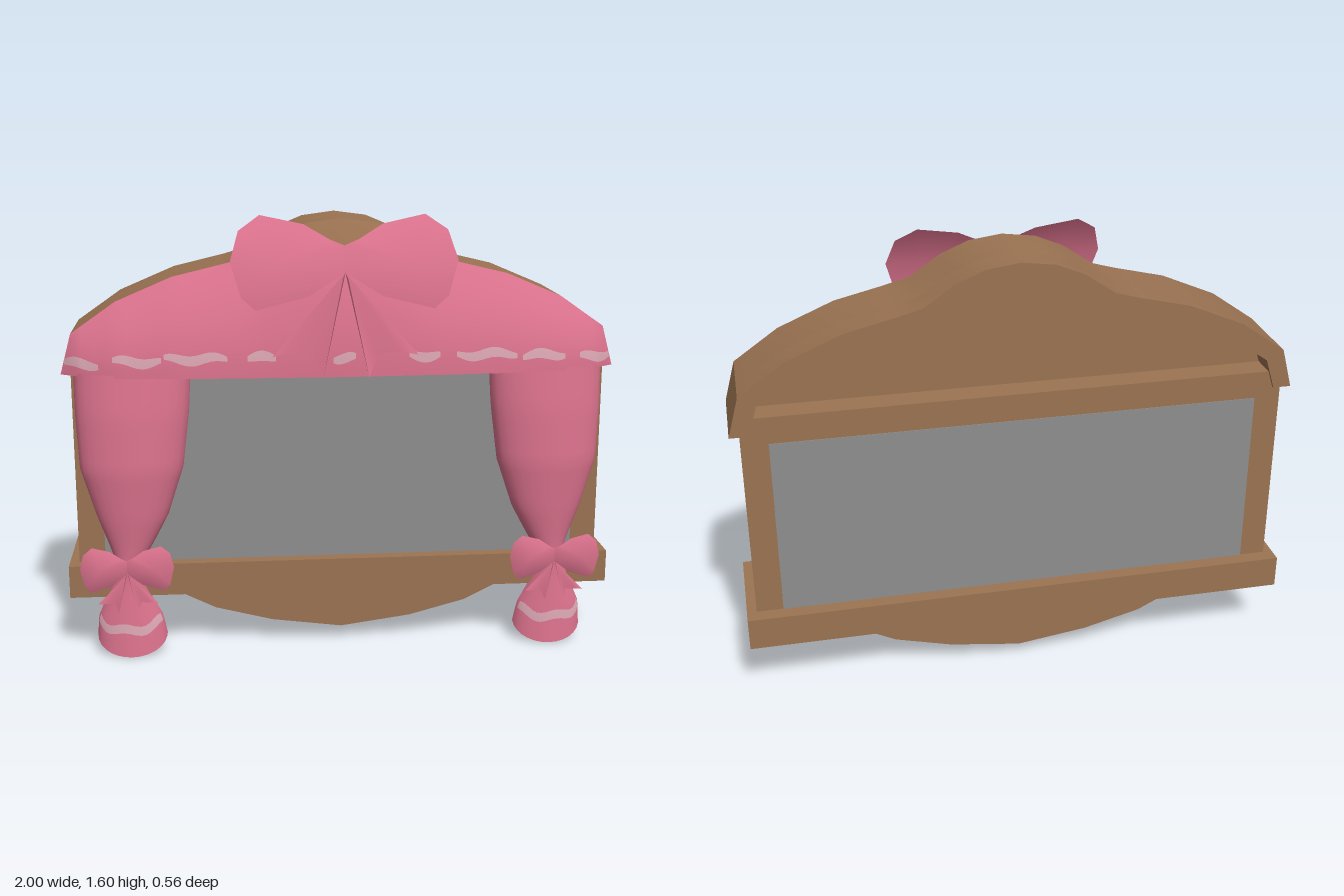
import * as THREE from 'three';
import { toCreasedNormals } from 'three/addons/utils/BufferGeometryUtils.js';
import { ParametricGeometry } from 'three/addons/geometries/ParametricGeometry.js';

const mat = (name, color, side = THREE.FrontSide) => {
  const m = new THREE.MeshStandardMaterial({ color, side });
  m.name = name;
  return m;
};

// piecewise linear lookup in rows sorted by their first number
function lookup(rows, x, col = 1) {
  let i = 0;
  while (i < rows.length - 2 && x > rows[i + 1][0]) i++;
  const [a, b] = [rows[i], rows[i + 1]];
  const t = THREE.MathUtils.clamp((x - a[0]) / (b[0] - a[0]), 0, 1);
  return a[col] + (b[col] - a[col]) * t;
}

// half outlines of the arched crown: |x|, y
const OUTER = [[0, 1.583], [0.12, 1.567], [0.22, 1.525], [0.33, 1.45], [0.42, 1.425], [0.6, 1.382], [0.8, 1.297], [0.96, 1.185], [1, 1.04]];
const INNER = [[0, 1.52], [0.11, 1.505], [0.2, 1.46], [0.3, 1.39], [0.4, 1.36], [0.58, 1.32], [0.77, 1.24], [0.9, 1.15], [0.935, 1.04]];
// depth of the valance hem: |x|, z
const HEM = [[0, 0.215], [0.4, 0.205], [0.6, 0.195], [0.8, 0.17], [0.93, 0.125], [1, 0.075]];
// curtain cross-sections: y, inner x, outer x, back z, front z
const CURTAIN = [
  [0, 0.65, 0.905, 0.115, 0.19], [0.1, 0.665, 0.9, 0.115, 0.182], [0.27, 0.73, 0.845, 0.12, 0.165],
  [0.33, 0.745, 0.825, 0.12, 0.165], [0.4, 0.7, 0.845, 0.115, 0.17], [0.52, 0.635, 0.89, 0.112, 0.185],
  [0.7, 0.575, 0.945, 0.1, 0.2], [0.9, 0.55, 0.955, 0.088, 0.19], [1.06, 0.54, 0.955, 0.08, 0.17]];
// bow pieces, measured from the knot
const LOBE = [[0, 0.05], [0.05, 0.07], [0.14, 0.12], [0.29, 0.15], [0.365, 0.1], [0.395, 0], [0.36, -0.12], [0.31, -0.165], [0.13, -0.12], [0, -0.04]];
const TAIL = [[0.255, -0.325, 0], [0.185, -0.31, 0.012], [0.115, -0.325, -0.012], [0.08, -0.4, 0.012], [0.01, -0.06, 0]];

function mirrored(half) {
  const right = half.map(([x, y]) => new THREE.Vector2(x, y));
  const left = half.slice(1).reverse().map(([x, y]) => new THREE.Vector2(-x, y));
  return [...left, ...right];
}

function sheet(fn, slices, stacks) {
  const g = new ParametricGeometry((u, v, p) => p.set(...fn(u, v)), slices, stacks);
  g.computeVertexNormals();
  return g;
}

function fan(center, ring, closed) {
  const g = new THREE.BufferGeometry();
  const index = [];
  const n = ring.length;
  for (let i = 0; i < (closed ? n : n - 1); i++) index.push(0, 1 + i, 1 + ((i + 1) % n));
  g.setAttribute('position', new THREE.Float32BufferAttribute([center, ...ring].flat(), 3));
  g.setIndex(index);
  g.computeVertexNormals();
  return g;
}

// front of the valance, bulging forward below the crown
function valancePoint(x, y, lift = 0) {
  const ax = Math.abs(x);
  const k = Math.min(1, (y - 1.04) / Math.max(0.001, lookup(OUTER, ax) - 1.04));
  return [x, y, 0.075 + (lookup(HEM, ax) - 0.075) * (1 - k * k) + lift];
}
const valanceTop = (x) => Math.min(lookup(OUTER, Math.abs(x)), 1.462 - 0.2 * x * x + (Math.abs(x) > 0.42 ? 1 : 0));

function curtainPoint(sign, u, y, lift = 0) {
  const s = Math.sin(Math.PI * u);
  const [x0, x1, z0, z1] = [1, 2, 3, 4].map((c) => lookup(CURTAIN, y, c));
  const x = (x0 + x1) / 2 - ((x1 - x0) / 2) * Math.cos(Math.PI * u);
  const scallop = 0.065 * (1 - s) * Math.max(0, 1 - y / 0.25);
  return [sign * x, y + scallop, z0 + (z1 - z0) * s + lift];
}

export function createModel() {
  const root = new THREE.Group();
  const wood = mat('brown wood', 0x9b7352);
  const woodSheet = mat('brown wood sheet', 0x9b7352, THREE.DoubleSide);
  const grey = mat('grey panel', 0x8e8e8e);
  const pink = mat('pink cloth', 0xdb728d, THREE.DoubleSide);
  const pale = mat('pale pink trim', 0xdaa6b2, THREE.DoubleSide);

  const add = (name, geo, material, parent = root) => {
    const m = new THREE.Mesh(geo, material);
    m.name = name;
    parent.add(m);
    return m;
  };
  const box = (name, x0, x1, y0, y1, z0, z1, material = wood) =>
    add(name, new THREE.BoxGeometry(x1 - x0, y1 - y0, z1 - z0), material)
      .position.set((x0 + x1) / 2, (y0 + y1) / 2, (z0 + z1) / 2);
  const extrude = (name, shape, z0, z1) => {
    const g = new THREE.ExtrudeGeometry(shape, { depth: z1 - z0, bevelEnabled: false });
    g.translate(0, 0, z0);
    add(name, toCreasedNormals(g, 0.6), wood);
  };

  // case with a grey panel on both faces
  box('case', -0.965, 0.965, 0.32, 1.1, -0.225, 0.075);
  box('frontPanel', -0.87, 0.87, 0.335, 1.05, 0.073, 0.078, grey);
  box('backPanel', -0.87, 0.87, 0.335, 1.0, -0.228, -0.223, grey);

  // sill, hollow underneath
  box('sillTop', -1, 1, 0.3, 0.335, -0.28, 0.125);
  box('sillFront', -1, 1, 0.215, 0.3, 0.095, 0.125);
  box('sillBack', -1, 1, 0.215, 0.3, -0.28, -0.25);
  for (const s of [-1, 1]) box('sillEnd', s * 0.985 - 0.015, s * 0.985 + 0.015, 0.215, 0.3, -0.25, 0.095);

  // curved aprons under the sill
  const apron = new THREE.Shape([[-0.8, 0.3], [-0.62, 0.215], [-0.47, 0.14], [-0.26, 0.085], [0, 0.05],
    [0.26, 0.085], [0.47, 0.14], [0.62, 0.215], [0.8, 0.3]].map((p) => new THREE.Vector2(...p)));
  for (const z of [0.075, -0.225]) add('apron', new THREE.ShapeGeometry(apron), woodSheet).position.z = z;

  // arched crown, recessed at the back
  extrude('crown', new THREE.Shape(mirrored(OUTER)), -0.13, 0.075);
  const rim = new THREE.Shape([...mirrored(OUTER), ...mirrored(INNER).reverse()]);
  extrude('crownRim', rim, -0.237, -0.13);

  // cloth valance and the wooden bulge above it
  add('valance', sheet((u, v) => {
    const x = 2 * u - 1;
    return valancePoint(x, 1.04 + v * (valanceTop(x) - 1.04));
  }, 50, 8), pink);
  add('crownFront', sheet((u, v) => {
    const x = 0.84 * u - 0.42;
    const y = valanceTop(x);
    return valancePoint(x, y + v * (lookup(OUTER, Math.abs(x)) - y));
  }, 28, 4), woodSheet);

  // broken trim along the valance
  for (const [x0, x1, y] of [[-0.985, -0.86, 1.085], [-0.81, -0.64, 1.1], [-0.63, -0.41, 1.11], [-0.34, -0.24, 1.112], [-0.04, 0.04, 1.108],
    [0.23, 0.34, 1.112], [0.4, 0.62, 1.11], [0.64, 0.8, 1.1], [0.86, 0.985, 1.085]]) {
    add('valanceTrim', sheet((u, v) => {
      const x = x0 + (x1 - x0) * u;
      const half = 0.018 * Math.pow(Math.sin(Math.PI * (0.08 + 0.84 * u)), 0.5);
      return valancePoint(x, y + 0.008 * Math.sin(x * 38) + (2 * v - 1) * half, 0.005);
    }, 12, 2), pale);
  }

  // bow made of two lobes and two pleated tails
  function bow(name, cx, cy, sx, sy, tailSy, zAt, puffs) {
    const g = new THREE.Group();
    g.name = name;
    for (const s of [-1, 1]) {
      const at = (x, y, z = 0, k = sy) => [cx + s * x * sx, cy + y * k, zAt(y) + z];
      for (const puff of puffs) add('bowLobe', fan(at(0.23, 0, puff), LOBE.map(([x, y]) => at(x, y)), true), pink, g);
      add('bowTail', fan(at(0, -0.04), TAIL.map(([x, y, z]) => at(x, y, z, tailSy)), false), pink, g);
    }
    root.add(g);
  }
  const bigZ = [[-0.4, 0.268], [-0.15, 0.25], [-0.07, 0.25], [0.08, 0.19], [0.15, 0.13]];
  bow('largeBow', 0, 1.45, 1, 1, 1, (y) => lookup(bigZ, y), [0.015]);

  // tied curtains, mirrored
  for (const s of [-1, 1]) {
    add('curtain', sheet((u, v) => curtainPoint(s, u, 1.05 * v), 14, 30), pink);
    add('curtainTrim', sheet((u, v) =>
      curtainPoint(s, 0.06 + 0.88 * u, 0.085 + 0.035 * v + 0.008 * Math.sin(u * 14), 0.005), 16, 2), pale);
    bow('curtainBow', s * 0.785, 0.345, 0.425, 0.54, 0.41, (y) => (y < -0.2 ? 0.195 : 0.19), [0.035, -0.03]);
  }
  return root;
}
